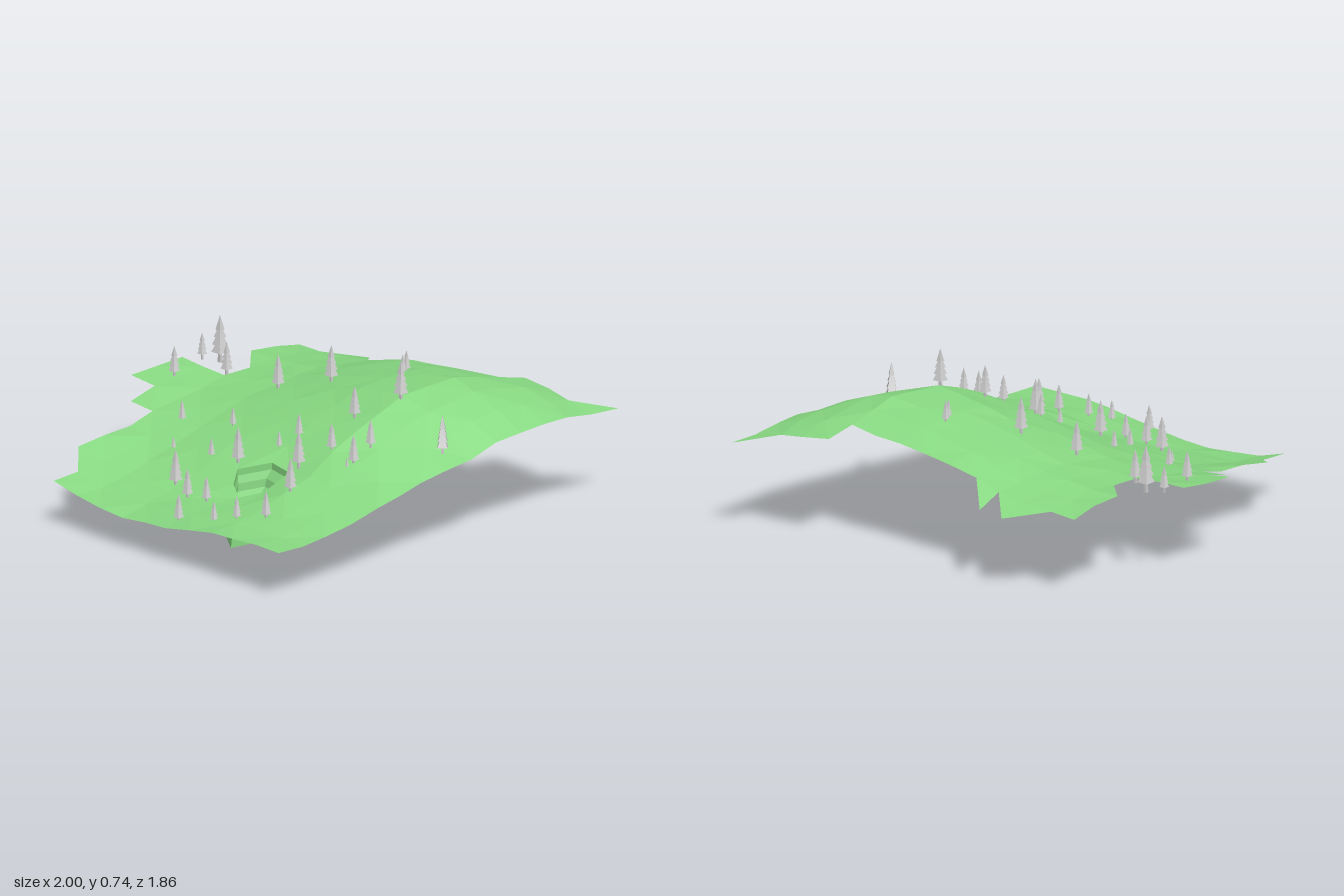
import * as THREE from 'three';
import { mergeGeometries } from 'three/addons/utils/BufferGeometryUtils.js';

// Coarse height table: rows run front to back, columns left to right
const XS = [-1, -0.7, -0.4, -0.1, 0.2, 0.5, 0.75, 1];
const ZS = [0.92, 0.7, 0.5, 0.2, -0.1, -0.4, -0.65, -0.94];
const HEIGHTS = [
  [0.225, 0.23, 0.30, 0.36, 0.41, 0.465, 0.45, 0.43],
  [0.22, 0.25, 0.33, 0.44, 0.53, 0.56, 0.51, 0.45],
  [0.21, 0.25, 0.35, 0.51, 0.60, 0.595, 0.525, 0.47],
  [0.17, 0.22, 0.33, 0.47, 0.56, 0.56, 0.505, 0.45],
  [0.145, 0.20, 0.31, 0.42, 0.49, 0.50, 0.47, 0.42],
  [0.17, 0.20, 0.28, 0.37, 0.42, 0.43, 0.385, 0.31],
  [0.25, 0.27, 0.30, 0.36, 0.40, 0.41, 0.37, 0.33],
  [0.27, 0.29, 0.33, 0.40, 0.41, 0.41, 0.37, 0.34],
];

// Position of v in a sorted axis as [index, fraction]
function locate(axis, v) {
  const dir = Math.sign(axis[1] - axis[0]);
  let i = 0;
  while (i < axis.length - 2 && (v - axis[i + 1]) * dir > 0) i++;
  return [i, THREE.MathUtils.clamp((v - axis[i]) / (axis[i + 1] - axis[i]), 0, 1)];
}

function groundHeight(x, z) {
  const [i, u] = locate(XS, x), [j, v] = locate(ZS, z);
  const row = (r) => THREE.MathUtils.lerp(HEIGHTS[r][i], HEIGHTS[r][i + 1], u);
  return THREE.MathUtils.lerp(row(j), row(j + 1), v);
}

// Terrain cells, front row first: # full, . empty, 1-4 triangle missing that corner
const CELLS = [
  '#############3',
  '#############.',
  '#############.',
  '############..',
  '###.########..',
  '###.########..',
  '############..',
  '############..',
  '############2.',
  '############2.',
  '.4##########3.',
  '.....###.4##..',
  '......##......',
];

// Rim of the pit, shared by the terrain hole and the shaft
const RIM = [[-0.48, 0.10], [-0.39, 0.22], [-0.41, 0.35], [-0.55, 0.345], [-0.62, 0.26], [-0.565, 0.165]];
const RIM_KEYS = ['4,6', '4,5', '4,4', '3,4', '3,5', '3,6'];
const PIT = { x: -0.50, y: 0.285, z: 0.235, slope: 0.42 };

// Ring of the shaft: scale of the rim and centre of the ring
function pitRing(scale, cx, cy, cz) {
  return RIM.map(([x, z]) => {
    const dx = (x - PIT.x) * scale, dz = (z - PIT.z) * scale;
    return [cx + dx, cy + dx * PIT.slope, cz + dz];
  });
}

function facetedGeometry(positions) {
  const g = new THREE.BufferGeometry();
  g.setAttribute('position', new THREE.Float32BufferAttribute(positions, 3));
  g.computeVertexNormals();
  return g;
}

function terrainGeometry() {
  const rim = pitRing(1, PIT.x, PIT.y, PIT.z);
  const vertex = (i, j) => {
    const k = RIM_KEYS.indexOf(`${i},${j}`);
    if (k >= 0) return rim[k];
    const x = -0.995 + 0.1422 * i + 0.006 * Math.sin(i * 5.1 + j * 2.3);
    const z = 0.915 - 0.1423 * j + 0.006 * Math.sin(i * 1.9 + j * 4.7);
    return [x, groundHeight(x, z) + 0.005 * Math.sin(i * 3.7 + j * 7.1), z];
  };
  const out = [];
  CELLS.forEach((row, j) => [...row].forEach((c, i) => {
    if (c === '.') return;
    const q = [vertex(i, j), vertex(i + 1, j), vertex(i + 1, j + 1), vertex(i, j + 1)];
    if (c !== '#') {
      q.splice(Number(c) - 1, 1);
      out.push(...q.flat());
    } else {
      const s = (i + j) % 2;
      out.push(...[s, s + 1, s + 2, s, s + 2, s + 3].flatMap((n) => q[n % 4]));
    }
  }));
  return facetedGeometry(out);
}

// Stepped shaft with a closed bottom, leaning with the slope
function shaftGeometry() {
  const rings = [
    [1, PIT.x, PIT.y, PIT.z],
    [1, -0.50, 0.255, 0.235],
    [0.82, -0.505, 0.225, 0.225],
    [0.80, -0.51, 0.19, 0.222],
    [0.70, -0.525, 0.165, 0.22],
    [0.68, -0.53, 0.13, 0.215],
    [0.74, -0.54, 0.115, 0.21],
    [0.72, -0.55, 0.036, 0.208],
  ].map((r) => pitRing(...r));
  const out = [], n = RIM.length;
  for (let r = 0; r < rings.length - 1; r++) {
    for (let k = 0; k < n; k++) {
      const a = rings[r][k], b = rings[r][(k + 1) % n];
      const c = rings[r + 1][(k + 1) % n], d = rings[r + 1][k];
      out.push(...a, ...b, ...c, ...a, ...c, ...d);
    }
  }
  const end = rings[rings.length - 1];
  for (let k = 1; k < n - 1; k++) out.push(...end[0], ...end[k], ...end[k + 1]);
  return facetedGeometry(out);
}

// Unit-high tree: trunk and stacked four-sided tiers
function treeGeometry() {
  const parts = [new THREE.CylinderGeometry(0.04, 0.05, 0.3, 4).translate(0, 0.13, 0)];
  [[0.18, 0.2, 0.36], [0.16, 0.36, 0.34], [0.13, 0.52, 0.3], [0.095, 0.68, 0.32]].forEach(([r, y, h]) => {
    parts.push(new THREE.ConeGeometry(r, h, 4).translate(0, y + h / 2, 0));
  });
  return mergeGeometries(parts).rotateY(Math.PI / 4);
}

// x, z, height of each tree
const TREES = [
  [0, -0.82, 0.14], [0.22, -0.88, 0.12], [0.26, -0.81, 0.21], [0.17, -0.67, 0.15],
  [-0.26, -0.49, 0.10], [-0.44, -0.35, 0.06], [0.13, -0.30, 0.16], [-0.22, -0.21, 0.09],
  [-0.66, -0.10, 0.17], [-0.44, -0.11, 0.09], [0.22, -0.06, 0.17], [-0.72, 0.04, 0.14],
  [-0.44, 0.06, 0.17], [-0.71, 0.15, 0.12], [-0.92, 0.20, 0.13], [-0.30, 0.17, 0.08],
  [-0.22, 0.21, 0.11], [0.40, 0.20, 0.09], [0.44, 0.18, 0.10], [-0.87, 0.37, 0.10],
  [-0.81, 0.45, 0.11], [-0.38, 0.38, 0.17], [-0.26, 0.46, 0.13], [-0.06, 0.39, 0.15],
  [0.12, 0.49, 0.18], [-0.54, 0.50, 0.16], [-0.74, 0.56, 0.13], [-0.30, 0.60, 0.05],
  [-0.27, 0.61, 0.14], [-0.16, 0.60, 0.13], [0.05, 0.83, 0.18],
];

export function createModel() {
  const model = new THREE.Group();
  const grass = new THREE.MeshStandardMaterial({ color: 0x88d982, flatShading: true, side: THREE.DoubleSide });
  const grey = new THREE.MeshStandardMaterial({ color: 0xcccccc, flatShading: true });

  const terrain = new THREE.Mesh(terrainGeometry(), grass);
  terrain.name = 'hillside';
  const shaft = new THREE.Mesh(shaftGeometry(), grass);
  shaft.name = 'pitShaft';

  const trees = new THREE.Group();
  trees.name = 'trees';
  const treeShape = treeGeometry();
  TREES.forEach(([x, z, h], k) => {
    const tree = new THREE.Mesh(treeShape, grey);
    tree.name = `tree${k + 1}`;
    tree.scale.setScalar(h);
    tree.position.set(x, groundHeight(x, z) - 0.01, z);
    if (k === TREES.length - 1) tree.rotation.y = Math.PI / 4;
    trees.add(tree);
  });

  model.add(terrain, shaft, trees);
  return model;
}
